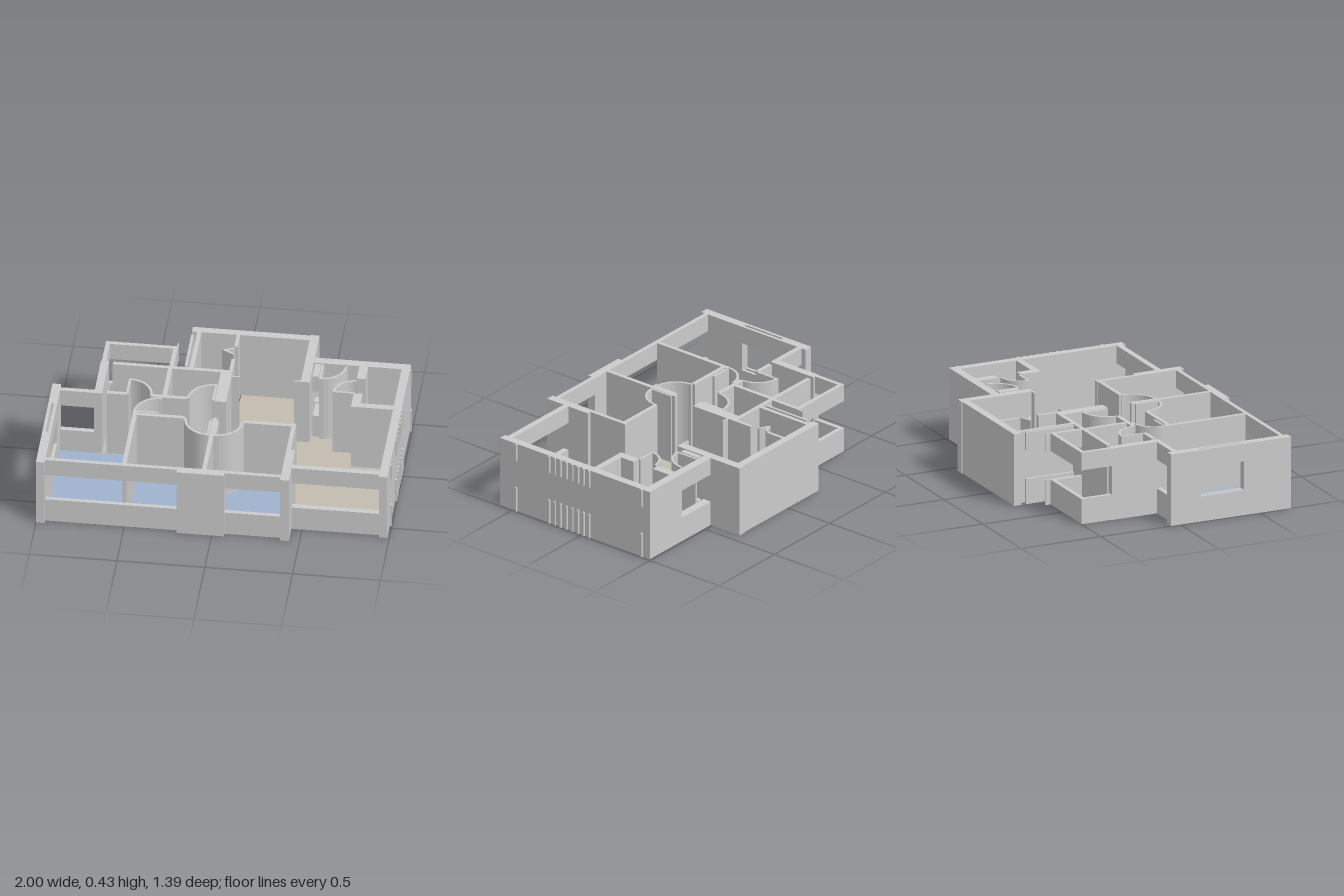
import * as THREE from 'three';

const H = 0.425, SILL = 0.15, HEAD = 0.32, BASE = 0.001;
const grey = new THREE.MeshStandardMaterial({ color: 0xcccccc, flatShading: true });
const beige = new THREE.MeshStandardMaterial({ color: 0xc2bbb0 });
const blue = new THREE.MeshStandardMaterial({ color: 0xa0b3ce });
const green = new THREE.MeshStandardMaterial({ color: 0xaeb2a8 });
const mauve = new THREE.MeshStandardMaterial({ color: 0xa3a1ab });

// Plan points along an arc; angles in quarter turns from +x towards +z
function arc(cx, cz, r, q0, q1, n = 10) {
  return Array.from({ length: n + 1 }, (_, i) => {
    const a = (q0 + (q1 - q0) * i / n) * Math.PI / 2;
    return [cx + r * Math.cos(a), cz + r * Math.sin(a)];
  });
}

// Extrude a plan outline of [x, z] points upwards
function prism(points, y0, y1) {
  const shape = new THREE.Shape(points.map(([x, z]) => new THREE.Vector2(x, -z)));
  return new THREE.ExtrudeGeometry(shape, { depth: y1 - y0, bevelEnabled: false })
    .rotateX(-Math.PI / 2).translate(0, y0, 0);
}

const rect = (x0, x1, z0, z1) => [[x0, z0], [x1, z0], [x1, z1], [x0, z1]];

export function createModel() {
  const model = new THREE.Group();
  const add = (name, geometry, material = grey) => {
    const mesh = new THREE.Mesh(geometry, material);
    mesh.name = name;
    model.add(mesh);
  };
  const box = (name, x0, x1, z0, z1, y0 = BASE, y1 = H) => add(name,
    new THREE.BoxGeometry(x1 - x0, y1 - y0, z1 - z0)
      .translate((x0 + x1) / 2, (y0 + y1) / 2, (z0 + z1) / 2));
  // Wall with an open strip between a parapet and a header
  const windowWall = (name, ...r) => {
    box(name + 'Parapet', ...r, BASE, SILL);
    box(name + 'Header', ...r, HEAD, H);
  };

  // Floors
  const floor = (name, points, material) => add(name, prism(points, 0, 0.006), material);
  floor('livingFloor', [
    [0, -0.65], [0.39, -0.65], [0.39, -0.26], [0.44, -0.26], [0.44, -0.44], [0.7, -0.44],
    [0.7, -0.05], [0.94, -0.05], [0.94, 0.54], [0.44, 0.54], [0.44, 0.4], [0.415, 0.4],
    [0.415, 0.16], [0.12, 0.16],
    ...arc(-0.035, 0.17, 0.15, 0, 1), ...arc(-0.07, 0.17, 0.15, 1, 2),
    [-0.22, 0.155], [-0.515, 0.155], ...arc(-0.37, 0.14, 0.145, 2, 3), [0, 0],
  ], beige);
  floor('bathroomFloor', rect(-0.71, -0.36, -0.3, 0), beige);
  floor('secondBathroomFloor', rect(-0.36, -0.06, -0.3, 0), beige);
  floor('balconyFloor', rect(-0.73, -0.36, -0.48, -0.31), beige);
  floor('utilityFloor', rect(-0.23, -0.02, -0.65, -0.3), green);
  floor('storeFloor', rect(0.75, 0.94, -0.44, -0.09), mauve);
  floor('sideBedroomFloor', [[-0.95, 0], ...arc(-0.37, 0.14, 0.145, 3, 2),
    [-0.515, 0.645], [-0.95, 0.645]], blue);
  floor('middleBedroomFloor', [[-0.49, 0.17], ...arc(-0.07, 0.17, 0.15, 2, 1),
    [-0.06, 0.32], [-0.06, 0.645], [-0.49, 0.645]], blue);
  floor('innerBedroomFloor', [[-0.035, 0.645], ...arc(-0.035, 0.17, 0.15, 1, 0),
    [0.4, 0.17], [0.4, 0.645]], blue);

  // Solid walls: name, x0, x1, z0, z1
  [
    ['sideWallBack', -1, -0.95, -0.06, 0.13],
    ['sideWallFront', -1, -0.95, 0.4, 0.695],
    ['frontPier', -0.2, 0.07, 0.645, 0.695],
    ['frontPillar', 0.39, 0.44, 0.4, 0.695],
    ['pillarWall', 0.39, 0.415, 0.15, 0.4],
    ['outerWall', 0.94, 0.988, -0.49, 0.595],
    ['storeBackWall', 0.7, 0.94, -0.49, -0.44],
    ['storeSideWallBack', 0.7, 0.75, -0.44, -0.32],
    ['storeSideWallFront', 0.7, 0.75, -0.18, -0.05],
    ['storeFrontWall', 0.75, 0.94, -0.09, -0.05],
    ['hallSideWall', 0.39, 0.44, -0.7, -0.25],
    ['hallNib', 0.35, 0.39, -0.26, -0.25],
    ['backWall', -0.28, 0.39, -0.695, -0.65],
    ['utilityCorner', -0.25, -0.225, -0.65, -0.31],
    ['utilityPartitionBack', -0.025, -0.005, -0.65, -0.54],
    ['utilityPartitionFront', -0.025, -0.005, -0.42, -0.3],
    ['hallJamb', -0.005, 0.04, -0.26, -0.25],
    ['bathroomPier', -0.07, -0.005, -0.31, -0.005],
    ['bathroomBackWall', -0.685, -0.07, -0.31, -0.285],
    ['bathroomSideWall', -0.755, -0.71, -0.31, 0],
    ['bathroomPartition', -0.37, -0.345, -0.285, -0.005],
    ['bathroomFrontWall', -0.685, -0.57, -0.03, -0.005],
    ['bathroomDoorNib', -0.43, -0.37, -0.03, -0.005],
    ['secondBathroomFrontWall', -0.345, -0.225, -0.03, -0.005],
    ['bedroomPartition', -0.515, -0.49, 0.14, 0.645],
    ['innerBedroomPartition', -0.06, -0.035, 0.15, 0.645],
    ['middleBedroomBackWall', -0.49, -0.22, 0.155, 0.18],
    ['innerBedroomBackWall', 0.115, 0.39, 0.155, 0.18],
  ].forEach(w => box(...w));

  // Walls with window strips
  [
    ['frontWindow', -0.95, -0.2, 0.645, 0.67],
    ['innerFrontWindow', 0.07, 0.39, 0.645, 0.67],
    ['livingWindow', 0.44, 0.94, 0.54, 0.575],
    ['sideWindowOuter', -1, -0.982, 0.13, 0.4],
    ['sideWindowInner', -0.968, -0.95, 0.13, 0.4],
    ['sideBedroomBackWindow', -0.95, -0.755, -0.03, 0],
    ['balconyBack', -0.75, -0.34, -0.5, -0.475],
    ['balconySide', -0.75, -0.725, -0.475, -0.31],
    ['balconyInnerSide', -0.365, -0.34, -0.475, -0.31],
    ['balconyFin', -0.345, -0.338, -0.53, -0.5],
    ['utilityWindow', -0.28, -0.265, -0.62, -0.32],
    ['kitchenWindow', 0.44, 0.7, -0.49, -0.44],
    ['kitchenSideWindow', 0.45, 0.485, -0.43, -0.31],
  ].forEach(w => windowWall(...w));

  // Doors: leaf plus quarter-round swing screen (hinge x, z, radius, first quarter, leaf quarter)
  const T = 0.014;
  [
    ['sideBedroomDoor', -0.37, 0.14, 0.145, 2, 2],
    ['middleBedroomDoor', -0.07, 0.17, 0.15, 1, 1],
    ['innerBedroomDoor', -0.03, 0.17, 0.15, 0, 1],
    ['bathroomDoor', -0.57, -0.02, 0.145, 3, 3],
    ['secondBathroomDoor', -0.08, -0.02, 0.15, 2, 3],
    ['kitchenDoor', 0.495, -0.43, 0.14, 0, 1],
    ['storeDoor', 0.7, -0.185, 0.12, 2, 2],
  ].forEach(([name, x, z, r, q, leaf]) => {
    add(name + 'Swing', prism(
      [...arc(x, z, r, q, q + 1), ...arc(x, z, r - T, q + 1, q)], BASE, H - 0.001));
    const [[ex, ez]] = arc(x, z, r, leaf, leaf, 1);
    const w = T / 2;
    box(name + 'Leaf', Math.min(x, ex) - (leaf % 2 ? w : 0), Math.max(x, ex) + (leaf % 2 ? w : 0),
      Math.min(z, ez) - (leaf % 2 ? 0 : w), Math.max(z, ez) + (leaf % 2 ? 0 : w), BASE, H - 0.002);
  });

  // Folding utility door
  add('foldingDoor', prism([[-0.02, -0.53], [-0.09, -0.5], [-0.02, -0.46], [-0.02, -0.475],
    [-0.06, -0.5], [-0.02, -0.518]], BASE, H));

  // Small fins on the outer wall
  [0.475, 0.235, 0.194, 0.152, 0.11, 0.068, 0.026, -0.015, -0.055, -0.435]
    .forEach(z => windowWall('outerFin', 0.988, 1, z - 0.006, z + 0.006));

  return model;
}
